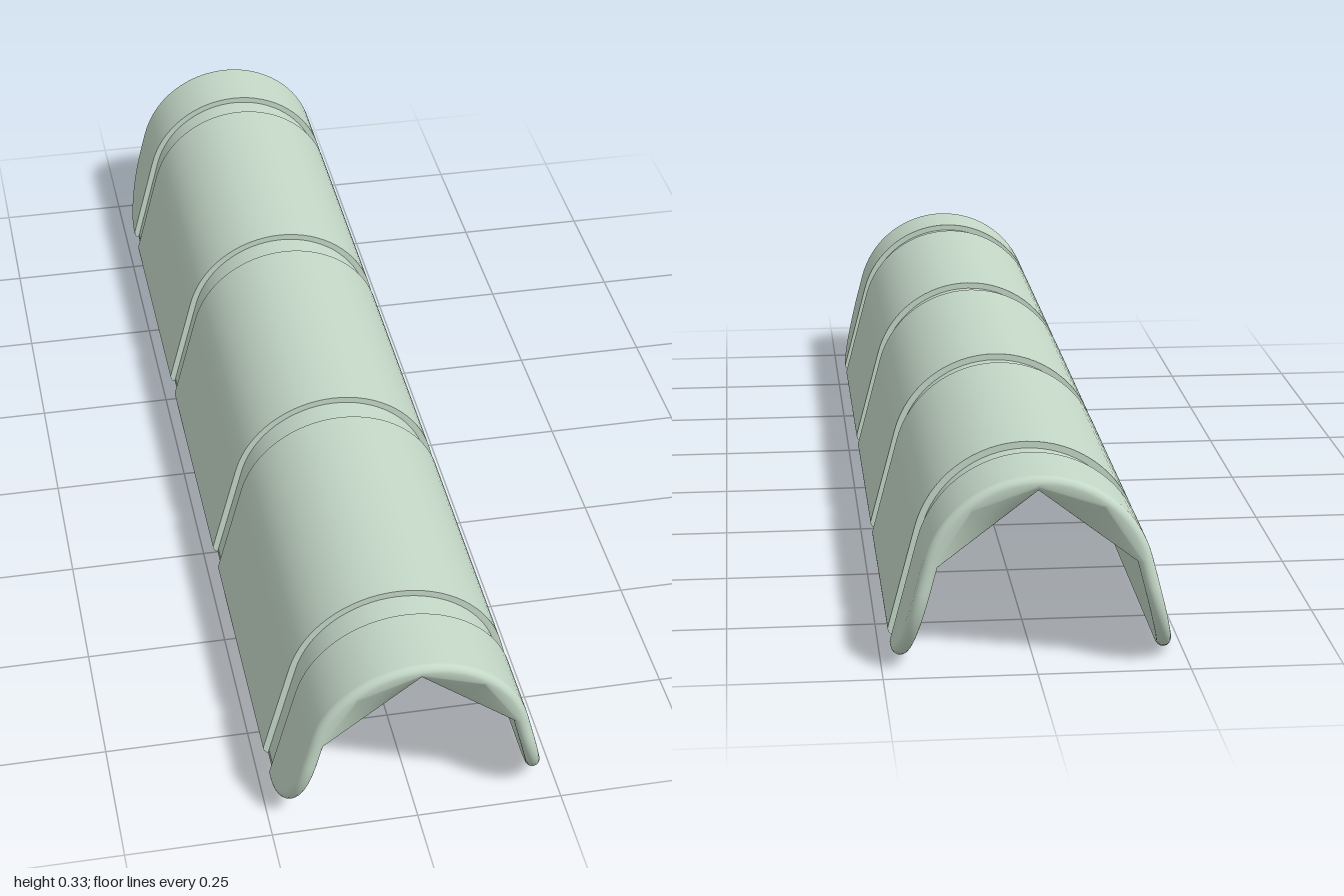
import * as THREE from 'three';

// Arched shell: an arc with two splayed straight legs, swept along z.
const H = 0.0125;                       // half wall thickness
const R = 0.179, CY = 0.1415;           // mid-surface arc radius and centre height
const ARC = THREE.MathUtils.degToRad(75.3);
const SA = R * ARC, S = 0.416;          // arc length to the leg, and to the leg end
const Z = 1 - H, CZ = 0.115, CS = 0.135; // end of the rim centre line, corner size
const GROOVES = [-0.835, -0.28, 0.28, 0.835];
const GROOVE_OFF = 0.001;               // skin offset inside a groove
const GUSSET_Z = 0.557, GUSSET_S = 0.228; // foot of the sloping end gussets

// Local frame of the mid-surface at arc length s
function frame(s) {
  const a = THREE.MathUtils.clamp(s / R, -ARC, ARC);
  const n = new THREE.Vector3(Math.sin(a), Math.cos(a), 0);
  const t = new THREE.Vector3(Math.cos(a), -Math.sin(a), 0);
  const p = new THREE.Vector3(0, CY, 0).addScaledVector(n, R).addScaledVector(t, s - a * R);
  return { p, n, t };
}

// The same frame with the arc cut into a few straight chords
function chordFrame(s, segments) {
  if (Math.abs(s) >= SA) return frame(s);
  const step = 2 * SA / segments;
  const i = Math.min(segments - 1, Math.floor((s + SA) / step));
  const a = frame(-SA + i * step), b = frame(-SA + (i + 1) * step);
  const k = (s + SA) / step - i;
  return { p: a.p.lerp(b.p, k), n: a.n.lerp(b.n, k), t: a.t.lerp(b.t, k) };
}

// Vertex at (s, z) moved by `off` along the surface normal
function vertex(s, z, off, sign = 1) {
  const f = frame(s);
  f.p.z = z;
  return { p: f.p.addScaledVector(f.n, off), n: f.n.multiplyScalar(sign) };
}

// Triangles turned to agree with their vertex normals; upright steps are shaded flat
function build(name, tris, material) {
  const pos = [], nor = [];
  for (let [a, b, c] of tris) {
    const face = b.p.clone().sub(a.p).cross(c.p.clone().sub(a.p));
    if (face.length() < 1e-10) continue;
    face.normalize();
    const agree = face.dot(a.n.clone().add(b.n).add(c.n));
    const flat = Math.abs(agree) < 1e-3;
    if (agree < 0) [b, c] = [c, b];
    if (flat && agree < 0) face.negate();
    for (const v of [a, b, c]) {
      const n = flat ? face : v.n;
      pos.push(v.p.x, v.p.y, v.p.z);
      nor.push(n.x, n.y, n.z);
    }
  }
  const g = new THREE.BufferGeometry();
  g.setAttribute('position', new THREE.Float32BufferAttribute(pos, 3));
  g.setAttribute('normal', new THREE.Float32BufferAttribute(nor, 3));
  const mesh = new THREE.Mesh(g, material);
  mesh.name = name;
  return mesh;
}

function grid(rows) {
  const tris = [];
  for (let i = 0; i + 1 < rows.length; i++) {
    for (let j = 0; j + 1 < rows[i].length; j++) {
      const a = rows[i][j], b = rows[i][j + 1], c = rows[i + 1][j + 1], d = rows[i + 1][j];
      tris.push([a, b, c], [a, c, d]);
    }
  }
  return tris;
}

// Stations along z: half width, outward direction of the outline, skin offset
function stations() {
  const list = [];
  for (const g of GROOVES) {
    for (const [d, off] of [[-0.03, H], [-0.03, GROOVE_OFF], [0.03, GROOVE_OFF], [0.03, H]]) {
      list.push({ z: g + d, s: S, ds: 1, dz: 0, off });
    }
  }
  for (let i = 0; i <= 10; i++) {
    const a = (i / 10) * Math.PI / 2;
    const v = new THREE.Vector2(Math.cos(a) / CS, Math.sin(a) / CZ).normalize();
    for (const k of [-1, 1]) {
      list.push({
        z: k * (Z - CZ + CZ * Math.sin(a)), s: S - CS + CS * Math.cos(a),
        ds: v.x, dz: k * v.y, off: H,
      });
    }
  }
  return list.sort((a, b) => a.z - b.z);
}

export function createModel() {
  const group = new THREE.Group();
  group.name = 'archedCover';
  const material = new THREE.MeshStandardMaterial({ color: 0xc4d8c7, side: THREE.DoubleSide });
  const rows = stations();
  const M = 32;
  const arc = Array.from({ length: M + 1 }, (_, i) => -SA + 2 * SA * i / M);
  const across = w => [-w, ...arc, w];

  // Outer skin with the cross grooves
  group.add(build('outerSkin', grid(rows.map(r =>
    across(r.s).map(s => vertex(s, r.z, r.off)))), material));

  // Smooth inner skin
  const inside = (s, z) => vertex(s, z, -H, -1);
  group.add(build('innerSkin', grid(rows.map(r =>
    across(r.s).map(s => inside(s, r.z)))), material));

  // Rounded rim around the whole outline; its inner side turns into chords over the arch
  const end = k => across(S - CS).map(s => ({ z: k * Z, s, ds: 0, dz: k, off: H }));
  const path = [
    ...rows,
    ...end(1).reverse(),
    ...rows.map(r => ({ ...r, s: -r.s, ds: -r.ds })).reverse(),
    ...end(-1),
  ];
  path.push(path[0]);
  const STEPS = 12;
  const rim = path.map(o => Array.from({ length: STEPS + 1 }, (_, i) => {
    const a = (i / STEPS) * Math.PI, c = Math.cos(a), q = Math.sin(a);
    const f = chordFrame(o.s, i <= 6 ? M : i <= 8 ? 4 : 2);
    const out = f.t.clone().multiplyScalar(o.ds);
    out.z = o.dz;
    const p = f.p.clone();
    p.z = o.z;
    p.addScaledVector(f.n, Math.min(H * c, o.off)).addScaledVector(out, H * q);
    return { p, n: f.n.clone().multiplyScalar(c).addScaledVector(out, q) };
  }));
  group.add(build('rim', grid(rim), material));

  // Sloping gusset under the arch at each end, rising to a pointed crown
  for (const k of [-1, 1]) {
    const crown = inside(0, k * Z);
    const [a, b] = [-GUSSET_S, GUSSET_S].map(s => inside(s, k * GUSSET_Z));
    const tris = [[a, b, crown], [a, inside(-SA, k * Z), crown], [b, inside(SA, k * Z), crown]];
    group.add(build(k > 0 ? 'frontGusset' : 'backGusset', tris, material));
  }
  return group;
}
